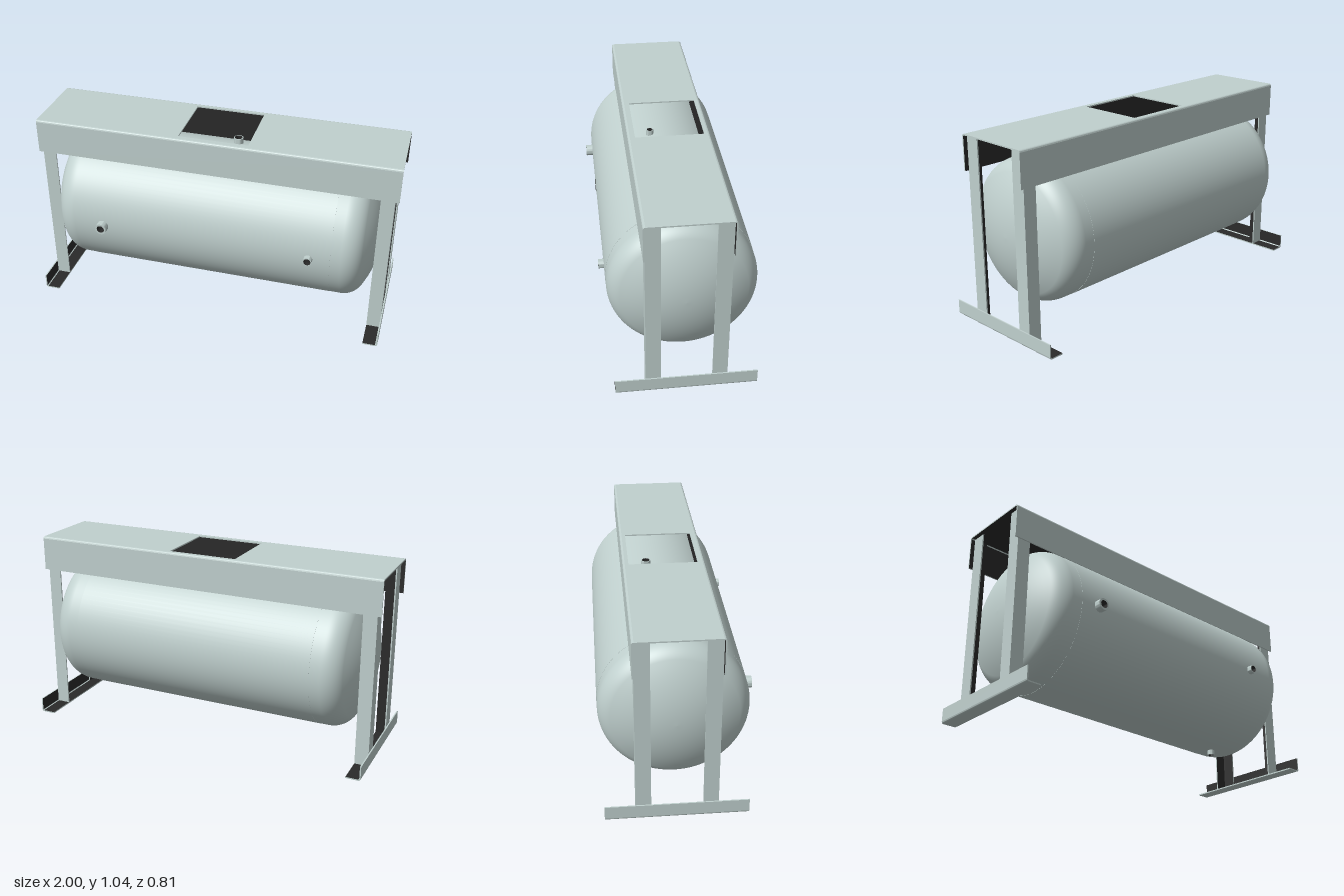
import * as THREE from 'three';
import { toCreasedNormals } from 'three/addons/utils/BufferGeometryUtils.js';

const ZC = -0.0165;   // centre line of tank and frame
const T = 0.007;      // sheet thickness
const AXIS_Y = 0.525; // tank axis height
const R = 0.384;      // tank radius

export function createModel() {
  const model = new THREE.Group();
  model.name = 'horizontalTank';

  const paint = new THREE.MeshStandardMaterial({ color: 0xc0d0ce });
  paint.name = 'pale grey paint';
  const dark = new THREE.MeshStandardMaterial({ color: 0x2a2a2a });
  dark.name = 'dark inside';

  const add = (parent, name, geometry, material) => {
    const mesh = new THREE.Mesh(geometry, material);
    mesh.name = name;
    parent.add(mesh);
    return mesh;
  };
  const group = (name) => {
    const g = new THREE.Group();
    g.name = name;
    model.add(g);
    return g;
  };

  // Sheet metal plate between two corners, with one dark inner side
  const SIDES = ['+x', '-x', '+y', '-y', '+z', '-z'];
  const plate = (parent, name, a, b, inner) => {
    const size = a.map((v, i) => Math.abs(b[i] - v));
    const mesh = add(parent, name, new THREE.BoxGeometry(...size),
      SIDES.map((s) => (s === inner ? dark : paint)));
    mesh.position.set(...a.map((v, i) => (v + b[i]) / 2));
    return mesh;
  };

  // Quarter-round bend running along z
  const bend = (radius, quarter, length) => {
    const a0 = quarter * Math.PI / 2, a1 = a0 + Math.PI / 2;
    const shape = new THREE.Shape();
    shape.absarc(0, 0, radius, a0, a1, false);
    shape.absarc(0, 0, radius - T, a1, a0, true);
    const geo = new THREE.ExtrudeGeometry(shape, { depth: length, bevelEnabled: false, curveSegments: 6 });
    return toCreasedNormals(geo.translate(0, 0, -length / 2), 0.6);
  };

  // Tank shell
  const tank = group('tank');
  const shell = add(tank, 'shell', new THREE.CylinderGeometry(R, R, 1.38, 96).rotateZ(-Math.PI / 2), paint);
  shell.position.set(0, AXIS_Y, ZC);

  // Dished heads: knuckle arc running into a shallow crown arc
  const crown = 0.65, pole = 0.935, knuckle = 0.12;
  const kr = R - 0.001 - knuckle;
  const kx = pole - crown + Math.sqrt((crown - knuckle) ** 2 - kr ** 2);
  const join = Math.asin(kr / (crown - knuckle));
  const profile = [new THREE.Vector2(R - 0.001, 0.688)];
  for (let i = 0; i <= 12; i++) {
    const a = Math.PI / 2 + (join - Math.PI / 2) * i / 12;
    profile.push(new THREE.Vector2(kr + knuckle * Math.sin(a), kx + knuckle * Math.cos(a)));
  }
  for (let i = 1; i <= 10; i++) {
    const a = join * (1 - i / 10);
    profile.push(new THREE.Vector2(crown * Math.sin(a), pole - crown + crown * Math.cos(a)));
  }
  for (const s of [1, -1]) {
    const head = add(tank, s > 0 ? 'leftHead' : 'rightHead',
      new THREE.LatheGeometry(profile, 96).rotateZ(-s * Math.PI / 2), paint);
    head.position.set(0, AXIS_Y, ZC);
  }

  // Hollow pipe ports, built upward from the shell and then turned
  const lathe = (pts) => toCreasedNormals(
    new THREE.LatheGeometry(pts.map((p) => new THREE.Vector2(...p)), 32), 0.6);
  const port = (name, x, y, z, radius, bore, length, turn) => {
    const g = group(name);
    add(g, 'pipe', lathe([[radius, -0.03], [radius, length], [bore, length]]), paint);
    add(g, 'bore', lathe([[bore, length], [bore, 0.004], [0, 0.004]]), dark);
    g.position.set(x, y, z);
    g.rotation.x = turn;
  };
  const front = ZC + R;
  port('frontRightPort', -0.578, AXIS_Y, front, 0.032, 0.021, 0.037, Math.PI / 2);
  port('frontLeftPort', 0.575, AXIS_Y, front, 0.024, 0.019, 0.028, Math.PI / 2);
  port('topBackPort', 0.075, AXIS_Y + R - 0.006, -0.095, 0.026, 0.021, 0.032, 0);
  port('topFrontPort', -0.078, AXIS_Y + R - 0.006, 0.058, 0.02, 0.016, 0.026, 0);
  port('drainPort', 0.63, AXIS_Y - R, ZC, 0.021, 0.016, 0.027, Math.PI);

  // Folded cover with a square opening
  const cover = group('cover');
  const top = 1.038, bottom = 0.845, half = 0.2175, fold = 0.012;
  const zb = ZC - half, zf = ZC + half;
  const hx = 0.192, hz0 = -0.203, hz1 = 0.162;
  const roof = (name, x0, x1, z0, z1) =>
    plate(cover, name, [x0, top - T, z0], [x1, top, z1], '-y');
  roof('roofBack', -1, 1, zb + fold, hz0);
  roof('roofFront', -1, 1, hz1, zf - fold);
  roof('roofRight', -1, -hx, hz0, hz1);
  roof('roofLeft', hx, 1, hz0, hz1);
  for (const s of [1, -1]) {
    const z = ZC + s * half, name = s > 0 ? 'front' : 'back';
    plate(cover, name + 'Skirt', [-1, bottom, z - s * T], [1, top - fold, z], s > 0 ? '-z' : '+z');
    const corner = add(cover, name + 'Fold', bend(fold, s > 0 ? 1 : 0, 2).rotateY(Math.PI / 2), paint);
    corner.position.set(0, top - fold, z - s * fold);
  }

  // Angle-iron legs and feet at both ends
  for (const sx of [1, -1]) {
    const side = sx > 0 ? 'left' : 'right';
    const inX = sx > 0 ? '-x' : '+x';
    const legX = sx * 0.978, footX = sx * 0.985;

    for (const sz of [1, -1]) {
      const leg = group(side + (sz > 0 ? 'Front' : 'Back') + 'Leg');
      const z = ZC + sz * 0.2095;
      plate(leg, 'crossFlange', [legX, T, z - sz * T], [sx * 0.904, 1.031, z], sz > 0 ? '-z' : '+z');
      plate(leg, 'endFlange', [legX - sx * T, T, z - sz * T], [legX, 1.031, z - sz * 0.078], inX);
    }

    const foot = group(side + 'Foot');
    const z0 = ZC - 0.3665, z1 = ZC + 0.3665;
    plate(foot, 'upright', [footX - sx * T, fold, z0], [footX, 0.082, z1], inX);
    plate(foot, 'sole', [sx * 0.904, 0, z0], [footX - sx * fold, T, z1], '+y');
    const corner = add(foot, 'footFold', bend(fold, sx > 0 ? 3 : 2, z1 - z0), paint);
    corner.position.set(footX - sx * fold, fold, ZC);
  }

  return model;
}
